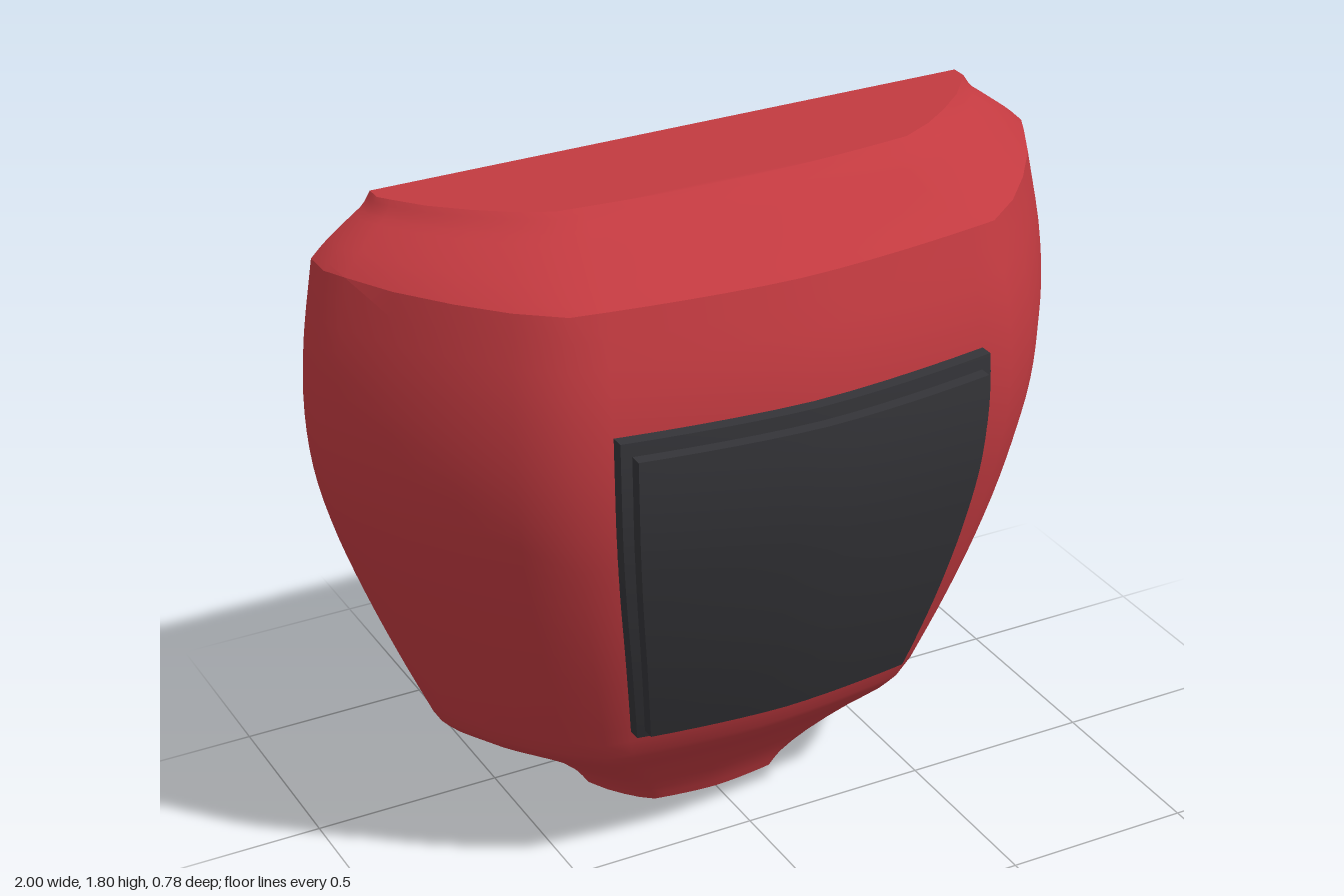
import * as THREE from 'three';
import { toCreasedNormals } from 'three/addons/utils/BufferGeometryUtils.js';

const BACK = -0.39;

// Profile keys: [half width, height, front z], one smooth run between creases
const runs = [
  [[0.29, 0, -0.19], [0.325, 0.05, -0.165], [0.42, 0.13, -0.11], [0.56, 0.22, -0.035], [0.66, 0.285, 0.03], [0.71, 0.335, 0.07]],
  [[0.71, 0.335, 0.07], [0.79, 0.52, 0.145], [0.87, 0.72, 0.215], [0.94, 0.92, 0.27], [0.985, 1.1, 0.307], [1, 1.27, 0.32], [0.99, 1.45, 0.305], [0.957, 1.66, 0.25]],
  [[0.957, 1.66, 0.25], [0.92, 1.695, 0.18], [0.86, 1.74, 0.075], [0.82, 1.77, 0.005], [0.8, 1.8, -0.04]],
];
const profile = runs.flatMap((keys, i) => {
  const curve = new THREE.CatmullRomCurve3(keys.map(k => new THREE.Vector3(...k)));
  return curve.getPoints(i === 1 ? 24 : 10).slice(i ? 1 : 0);
});

function profileAt(y) {
  let i = 1;
  while (i < profile.length - 1 && profile[i].y < y) i++;
  const a = profile[i - 1], b = profile[i];
  return a.clone().lerp(b, (y - a.y) / (b.y - a.y));
}

// Depth of the cross-section (0 back, 1 front) at a fraction of the half width
const flank = [[1, 0.12], [0.97, 0.21], [0.9, 0.405], [0.8, 0.605], [0.7, 0.77], [0.59, 0.9]];
const depthAt = u => 1 - 0.1 * Math.pow(Math.abs(u) / 0.59, 1.6);

// Join equal rings (running +x, front, -x, back) from bottom to top and cap them
function loft(rings, crease) {
  const n = rings[0].length, index = [];
  const top = (rings.length - 1) * n;
  for (let i = 0; i < rings.length - 1; i++) {
    for (let j = 0; j < n; j++) {
      const k = (j + 1) % n;
      const a = i * n + j, b = i * n + k, c = b + n, d = a + n;
      index.push(a, d, c, a, c, b);
    }
  }
  for (let j = 0; j < Math.floor(n / 2); j++) {
    const p = j + 1, q = n - 2 - j, r = n - 1 - j;
    if (q > p) index.push(j, p, q, top + j, top + q, top + p);
    if (q >= p) index.push(j, q, r, top + j, top + r, top + q);
  }
  const geometry = new THREE.BufferGeometry();
  geometry.setAttribute('position', new THREE.Float32BufferAttribute(rings.flat(2), 3));
  geometry.setIndex(index);
  return toCreasedNormals(geometry, crease);
}

function bodyGeometry() {
  const half = [[1, 0], ...flank];
  for (let u = 0.5; u > 0.05; u -= 0.1) half.push([u, depthAt(u)]);
  const section = [...half, [0, 1], ...half.map(([u, d]) => [-u, d]).reverse()];
  return loft(profile.map(p => section.map(([u, d]) => [u * p.x, p.y, BACK + d * (p.z - BACK)])), 0.62);
}

// Curved plate following the front of the body
function plateGeometry(y0, y1, halfU, inner, outer) {
  const rings = [], rows = 20, cols = 12;
  for (let i = 0; i <= rows; i++) {
    const y = y0 + (y1 - y0) * i / rows, p = profileAt(y);
    const edge = offset => Array.from({ length: cols + 1 }, (_, j) => {
      const u = halfU * (1 - 2 * j / cols);
      return [u * p.x, y, BACK + depthAt(u) * (p.z - BACK) + offset];
    });
    rings.push([...edge(outer), ...edge(inner).reverse()]);
  }
  return loft(rings, 0.6);
}

export function createModel() {
  const red = new THREE.MeshStandardMaterial({ color: 0xc23a40 });
  red.name = 'red';
  const charcoal = new THREE.MeshStandardMaterial({ color: 0x343438 });
  charcoal.name = 'charcoal';

  const group = new THREE.Group();
  const add = (name, geometry, material) => {
    const mesh = new THREE.Mesh(geometry, material);
    mesh.name = name;
    group.add(mesh);
  };
  add('body', bodyGeometry(), red);
  add('panelFrame', plateGeometry(0.43, 1.37, 0.498, -0.03, 0.035), charcoal);
  add('panelPlate', plateGeometry(0.455, 1.335, 0.471, 0, 0.068), charcoal);
  return group;
}
